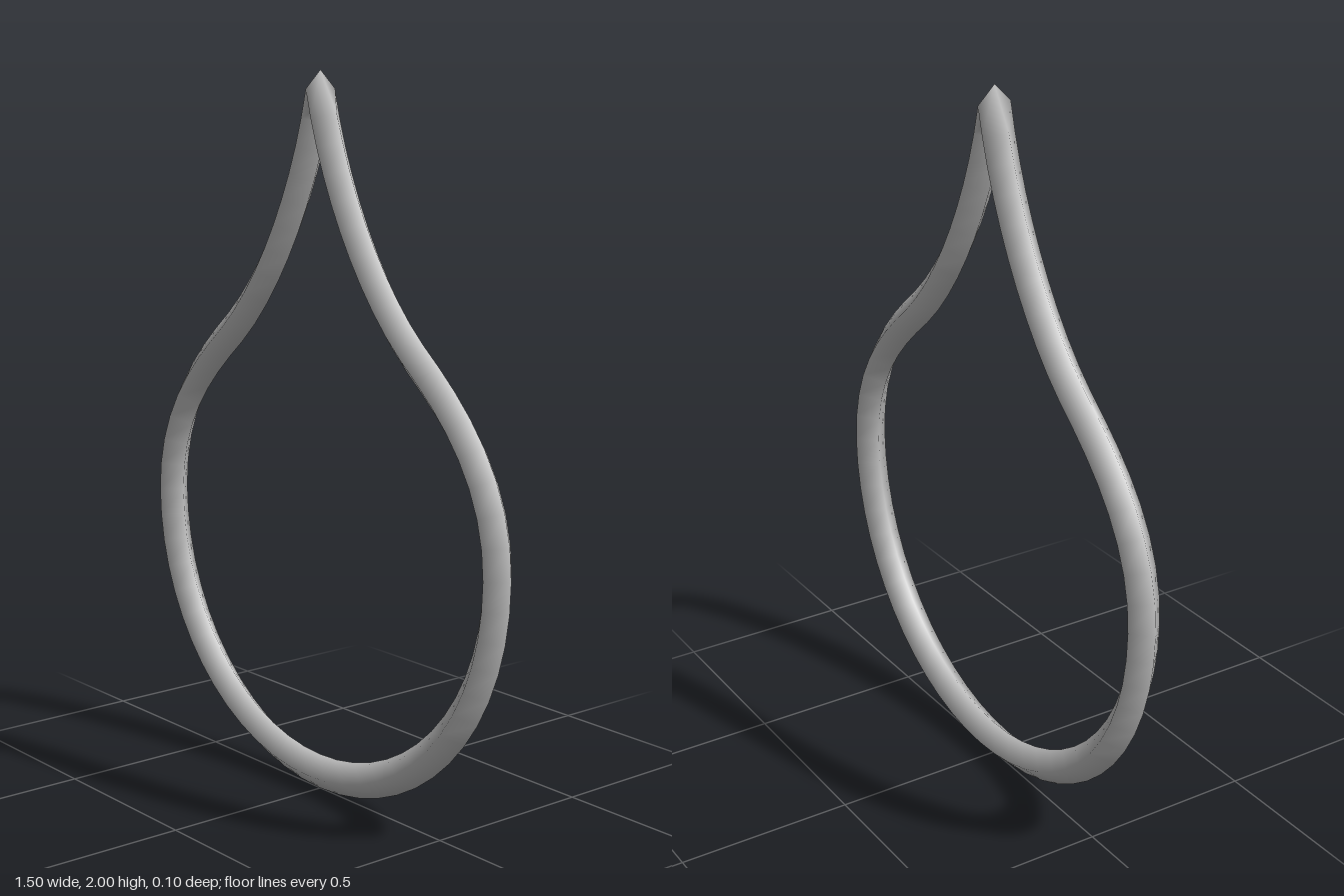
import * as THREE from 'three';

const silver = new THREE.MeshStandardMaterial({ color: 0xc0c0c0 });
silver.name = 'silver';

// Centre line of the +x half, from the bottom up to the pointed tip
const K = 0.7 * 0.5523;
const halfOutline = [
  [[0, 0.05], [K, 0.05], [0.7, 0.75 - K], [0.7, 0.75]],
  [[0.7, 0.75], [0.7, 0.98], [0.56, 1.13], [0.4, 1.26]],
  [[0.4, 1.26], [0.24, 1.39], [0.07, 1.65], [0, 1.95]],
];

function bezier(points, side) {
  return new THREE.CubicBezierCurve3(...points.map(([x, y]) => new THREE.Vector3(side * x, y, 0)));
}

// Full teardrop loop: up one side, down the mirrored other
function teardropPath() {
  const path = new THREE.CurvePath();
  halfOutline.forEach((p) => path.add(bezier(p, 1)));
  [...halfOutline].reverse().forEach((p) => path.add(bezier([...p].reverse(), -1)));
  return path;
}

export function createModel() {
  const group = new THREE.Group();
  group.name = 'teardropFrame';

  // Four-sided tube with smooth normals; an even segment count puts a ring on the tip
  const loop = new THREE.Mesh(new THREE.TubeGeometry(teardropPath(), 64, 0.05, 4, false), silver);
  loop.name = 'teardropLoop';
  group.add(loop);
  return group;
}
